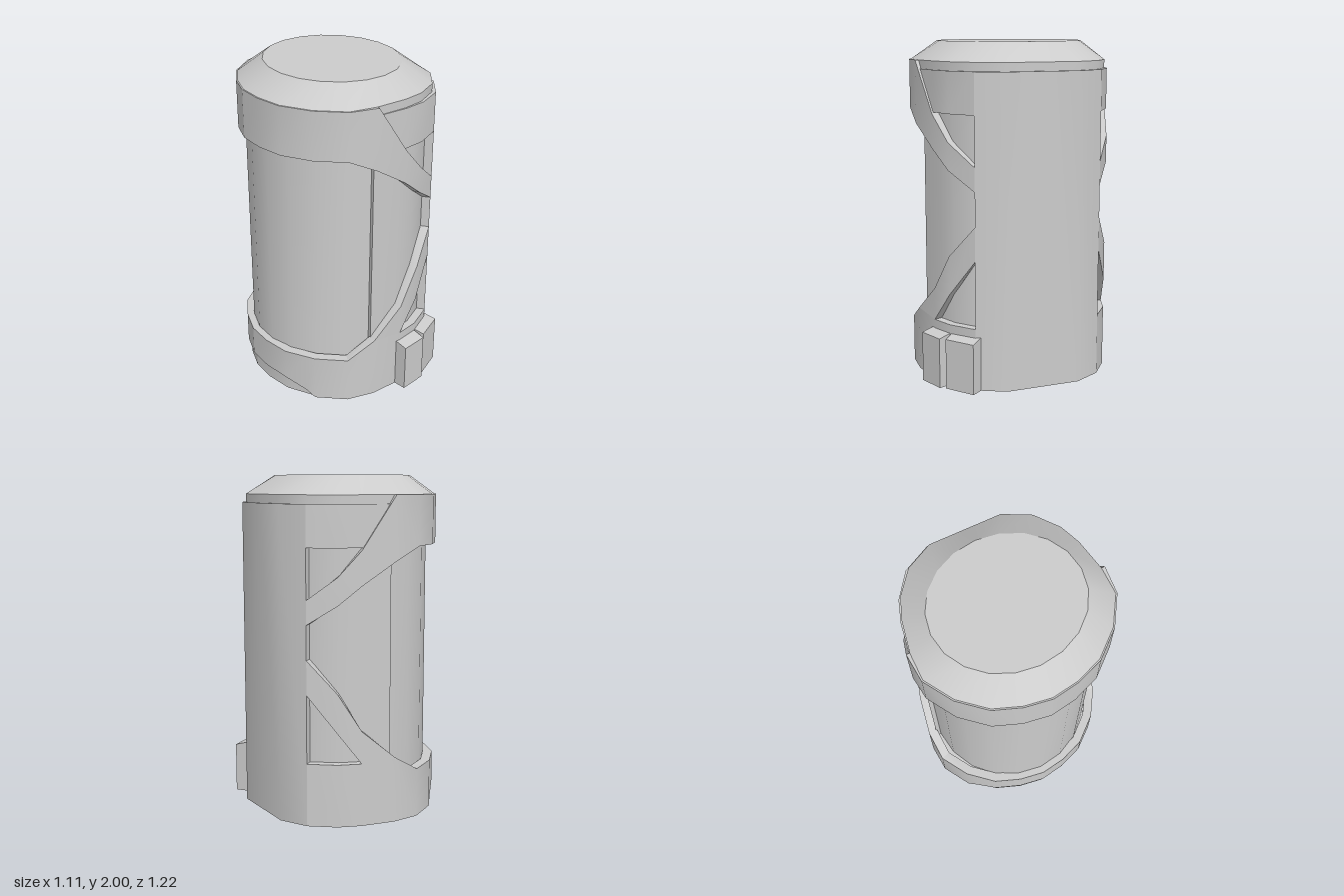
import * as THREE from 'three';
import { toCreasedNormals } from 'three/addons/utils/BufferGeometryUtils.js';

const CZ = -0.02; // centre of the canister in z
const INNER = 0.9; // inner wall of the shell relative to its outline

// Half outlines [x, depth], running from the -x side to the +x side
const SHELL = [[-0.555, 0], [-0.53, 0.16], [-0.47, 0.32], [-0.34, 0.47], [-0.17, 0.575], [0, 0.588],
  [0.2, 0.55], [0.33, 0.5], [0.47, 0.39], [0.555, 0.225], [0.555, 0]];
const ellipse = (rx, rz) => SHELL.map((_, i) => [-rx * Math.cos(i * Math.PI / 10), rz * Math.sin(i * Math.PI / 10)]);
const scaled = (outline, s) => outline.map(([x, d]) => [x * s, d * s]);

// Body: round on the -x half, stepping out slightly to follow the shell on the +x half
const CORE = [...ellipse(0.51, 0.51).slice(0, 6), ...scaled(SHELL, 0.915).slice(5)];
// Lid: flush with the band on the -x half, set back on the +x half
const LID = SHELL.map(([x, d], i) => (i < 5 ? [x * 0.985, d * 0.985] : [x * 0.964, d * 0.964]));

const material = new THREE.MeshStandardMaterial({ color: 0xcccccc });

function makeMesh(name, positions) {
  const geometry = new THREE.BufferGeometry();
  geometry.setAttribute('position', new THREE.Float32BufferAttribute(positions, 3));
  const mesh = new THREE.Mesh(toCreasedNormals(geometry, 0.55), material);
  mesh.name = name;
  return mesh;
}

// Closed solid through rings of [half outline, y]
function loft(name, rings) {
  const out = [];
  const loops = rings.map(([o, y]) => [
    ...o.map(([x, d]) => [x, y, CZ + d]),
    ...o.slice(1, -1).reverse().map(([x, d]) => [x, y, CZ - d]),
  ]);
  const n = loops[0].length;
  const last = loops.length - 1;
  for (let i = 0; i < n; i++) {
    const j = (i + 1) % n;
    for (let k = 0; k < last; k++) {
      const [a, b, c, d] = [loops[k][i], loops[k][j], loops[k + 1][j], loops[k + 1][i]];
      out.push(...a, ...b, ...c, ...a, ...c, ...d);
    }
    out.push(...loops[0][j], ...loops[0][i], 0, rings[0][1], CZ);
    out.push(...loops[last][i], ...loops[last][j], 0, rings[last][1], CZ);
  }
  return makeMesh(name, out);
}

// Point on the shell outline at fractional index u
function shellPoint(u, y, s, side) {
  const i = Math.min(Math.floor(u), 9);
  const f = u - i;
  const x = THREE.MathUtils.lerp(SHELL[i][0], SHELL[i + 1][0], f);
  const d = THREE.MathUtils.lerp(SHELL[i][1], SHELL[i + 1][1], f);
  return [x * s, y, CZ + side * d * s];
}

// Thick curved panel through stations [u, bottom, top, outer scale]
function panel(name, stations, side) {
  const out = [];
  const quad = (a, b, c, d) => (side > 0
    ? out.push(...a, ...b, ...c, ...a, ...c, ...d)
    : out.push(...a, ...c, ...b, ...a, ...d, ...c));
  const sections = stations.map(([u, lo, hi, s = 1]) => [
    shellPoint(u, lo, s, side), shellPoint(u, hi, s, side),
    shellPoint(u, hi, INNER, side), shellPoint(u, lo, INNER, side),
  ]);
  for (let i = 0; i + 1 < sections.length; i++) {
    const A = sections[i];
    const B = sections[i + 1];
    for (let k = 0; k < 4; k++) {
      const m = (k + 1) % 4;
      quad(A[k], B[k], B[m], A[m]);
    }
  }
  const A = sections[0];
  const B = sections[sections.length - 1];
  quad(A[0], A[1], A[2], A[3]);
  quad(B[3], B[2], B[1], B[0]);
  return makeMesh(name, out);
}

// Small block with a sloping top, its outer face centred at x, z
function footBlock(x, z, width, depth, angle) {
  const profile = new THREE.Shape([[0, 0], [0, 0.3], [-depth, 0.325], [-depth, 0]]
    .map(([a, b]) => new THREE.Vector2(a, b)));
  const geometry = new THREE.ExtrudeGeometry(profile, { depth: width, bevelEnabled: false });
  geometry.translate(0, 0, -width / 2);
  geometry.rotateY(-Math.PI / 2);
  const mesh = new THREE.Mesh(geometry, material);
  mesh.name = 'footBlock';
  mesh.position.set(x, 0, z);
  mesh.rotation.y = angle;
  return mesh;
}

export function createModel() {
  const model = new THREE.Group();
  model.name = 'canister';

  // Inner body, hollowed base and chamfered lid
  model.add(loft('innerBody', [[CORE, 0.1], [CORE, 1.86]]));
  model.add(loft('base', [[scaled(SHELL, 0.78), 0.05], [scaled(SHELL, 0.92), 0], [scaled(SHELL, 0.92), 0.27]]));
  model.add(loft('lid', [[LID, 1.7], [LID, 1.89], [ellipse(0.395, 0.437), 2]]));

  // Shell, the same at the front and back
  const parts = {
    upperBand: [[0, 1.6, 1.89], [1, 1.6, 1.89], [2, 1.6, 1.89], [3, 1.6, 1.89], [4, 1.6, 1.89],
      [5, 1.52, 1.89], [6, 1.39, 1.59], [7, 1.28, 1.44], [8, 1.17, 1.31]],
    upperPanel: [[5, 1.6, 1.84, 0.972], [6, 1.6, 1.84, 0.98], [7, 1.6, 1.84, 0.99], [8, 1.6, 1.84]],
    sideColumn: [[8, 0, 1.84], [9, 0, 1.84], [10, 0, 1.84]],
    lowerBand: [[0, 0.1, 0.29], [1, 0.1, 0.29], [2, 0.095, 0.29], [2.7, 0.04, 0.29], [3, 0, 0.29],
      [4, 0, 0.29], [5, 0, 0.39], [6, 0, 0.37], [7, 0, 0.37], [8, 0, 0.37]],
    lowerBrace: [[5, 0.38, 0.39], [6, 0.37, 0.56], [7, 0.55, 0.78], [8, 0.77, 0.97]],
    bottomRecess: [[0, 0, 0.11, 0.965], [1, 0, 0.11, 0.965], [2, 0, 0.11, 0.965], [3, 0, 0.11, 0.975]],
  };
  for (const side of [1, -1]) {
    const half = new THREE.Group();
    half.name = side > 0 ? 'frontShell' : 'backShell';
    for (const [name, stations] of Object.entries(parts)) half.add(panel(name, stations, side));
    model.add(half);
  }

  // Pair of blocks at the foot
  for (const [x, z, w, d, a] of [[0.278, 0.581, 0.168, 0.11, 0.34], [0.454, 0.464, 0.193, 0.09, 0.64]]) {
    model.add(footBlock(x, z, w, d, a));
  }
  return model;
}
